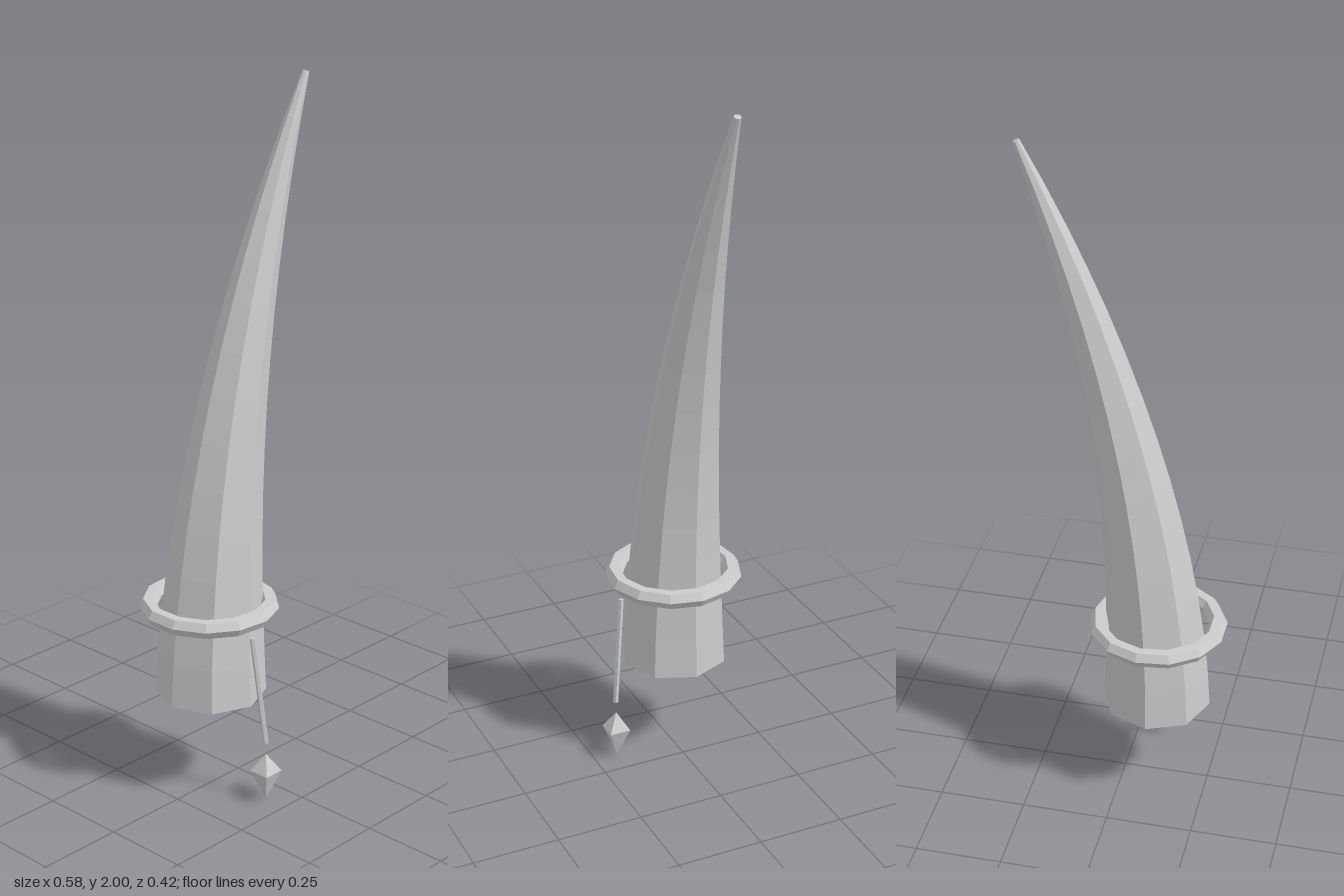
import * as THREE from 'three';

const grey = new THREE.MeshStandardMaterial({ color: 0xcccccc, flatShading: true });
grey.name = 'grey';

function add(group, name, geometry) {
  const mesh = new THREE.Mesh(geometry, grey);
  mesh.name = name;
  group.add(mesh);
  return mesh;
}

// Eight-sided cone, tapered and bent along a parabola towards +x
function hornGeometry() {
  const geometry = new THREE.CylinderGeometry(1, 1, 1, 8, 14);
  const pos = geometry.attributes.position;
  const height = 1.712;
  for (let i = 0; i < pos.count; i++) {
    const t = pos.getY(i) + 0.5;
    const radius = 0.157 - 0.147 * Math.pow(t, 1.2);
    const lean = Math.atan((0.75 * t + 0.005) / height);
    const across = pos.getX(i) * radius;
    pos.setXYZ(
      i,
      -0.097 + 0.375 * t * t + 0.003 * t + across * Math.cos(lean),
      0.286 + height * t - across * Math.sin(lean),
      -0.015 + pos.getZ(i) * radius
    );
  }
  geometry.computeVertexNormals();
  return geometry;
}

export function createModel() {
  const model = new THREE.Group();
  model.name = 'hornWithCharm';

  add(model, 'horn', hornGeometry());

  // Loose band around the horn
  const band = add(model, 'band', new THREE.TorusGeometry(0.172, 0.026, 6, 13));
  band.rotation.x = Math.PI / 2;
  band.position.set(-0.1, 0.553, -0.017);

  // Thin hanging cord
  const top = new THREE.Vector3(-0.1, 0.5, 0.149);
  const bottom = new THREE.Vector3(-0.077, 0.178, 0.181);
  const along = top.clone().sub(bottom);
  const cord = add(model, 'cord', new THREE.CylinderGeometry(0.008, 0.008, along.length(), 5));
  cord.position.copy(top).add(bottom).multiplyScalar(0.5);
  cord.quaternion.setFromUnitVectors(new THREE.Vector3(0, 1, 0), along.normalize());

  // Four-sided pointed charm below the cord
  const profile = [[0, 0], [0.031 * Math.SQRT2, 0.09], [0, 0.143]];
  const charm = add(model, 'charm', new THREE.LatheGeometry(
    profile.map(([r, y]) => new THREE.Vector2(r, y)), 4, Math.PI / 4));
  charm.position.set(-0.076, 0, 0.18);

  return model;
}
